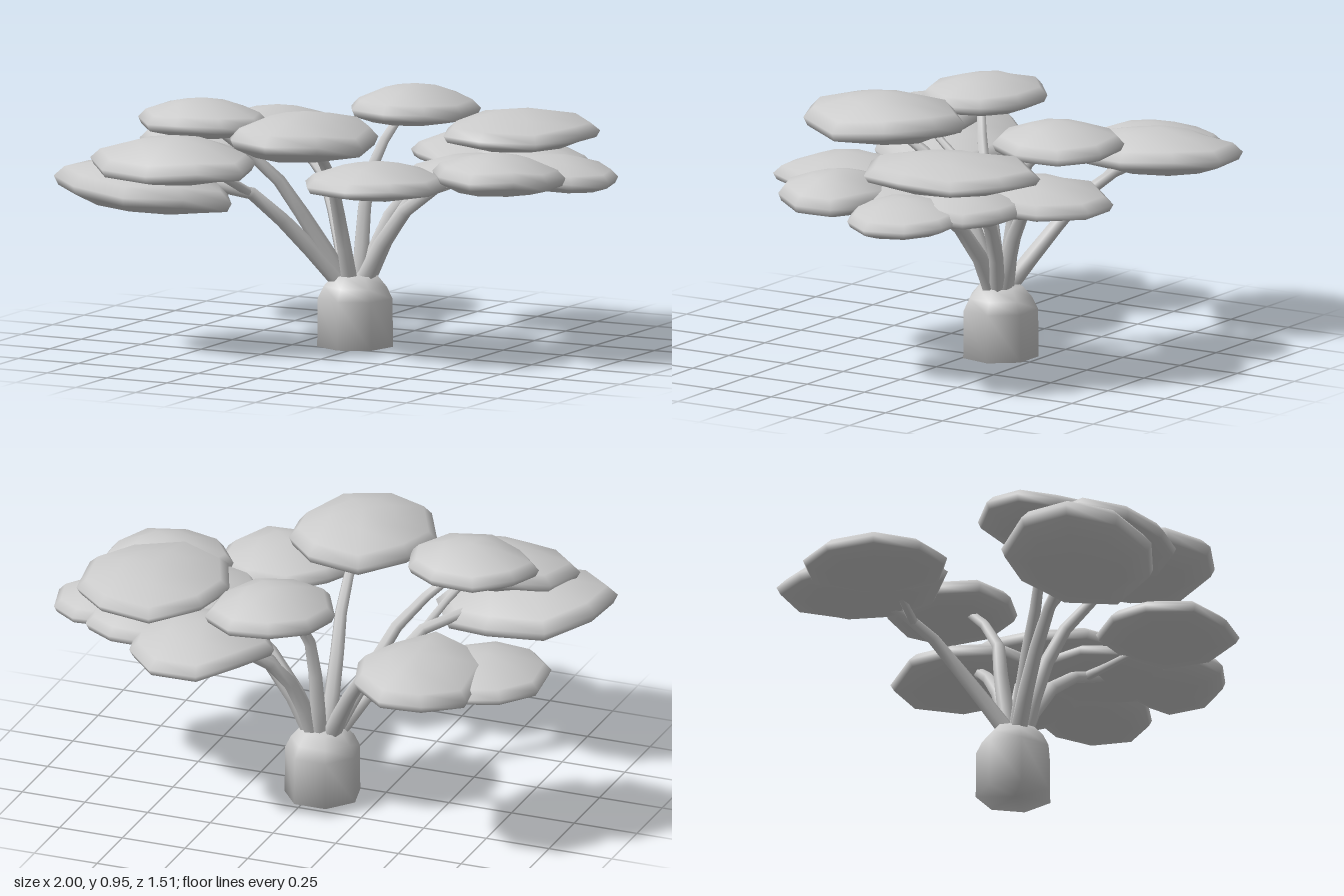
import * as THREE from 'three';
import { mergeVertices } from 'three/addons/utils/BufferGeometryUtils.js';

const material = new THREE.MeshStandardMaterial({ color: 0xcccccc });

// Repeatable pseudo-random value in -1..1
const noise = (a, b) => {
  const s = Math.sin(a * 12.9898 + b * 78.233) * 43758.5453;
  return (s - Math.floor(s)) * 2 - 1;
};

// Drops seams so the low-poly surface shades smoothly
function smooth(geometry) {
  geometry.deleteAttribute('uv');
  geometry.deleteAttribute('normal');
  const merged = mergeVertices(geometry, 1e-4);
  merged.computeVertexNormals();
  return merged;
}

const lathe = (profile, sides) =>
  new THREE.LatheGeometry(profile.map(([r, y]) => new THREE.Vector2(r, y)), sides);

// Flattened leaf mass: a slab with an uneven rim and a low domed top
function leafClump({ c, r, y, turn = 0, tiltX = 0, tiltZ = 0 }, seed) {
  const sides = 9;
  const profile = [[0, 0], [0.65, 0.12], [0.95, 0.28], [1, 0.45], [0.88, 0.65], [0.45, 0.88], [0, 1]];
  const rows = profile.length;
  const geometry = lathe(profile, sides);
  const p = geometry.attributes.position;
  const height = y[1] - y[0];
  for (let i = 0; i < p.count; i++) {
    const side = Math.floor(i / rows) % sides;
    const row = i % rows;
    const out = 1 + 0.06 * noise(side + 1, seed);
    const x = p.getX(i) * out * r[0];
    const z = p.getZ(i) * out * r[1];
    const rim = row > 1 && row < rows - 2 ? 0.08 * noise(side + 20, seed) : 0;
    p.setXYZ(i, x, (p.getY(i) + rim) * height + x * tiltX + z * tiltZ, z);
  }
  geometry.rotateY(turn);
  const mesh = new THREE.Mesh(smooth(geometry), material);
  mesh.position.set(c[0], y[0], c[1]);
  mesh.name = 'leafClump';
  return mesh;
}

// Tapered limb along a smooth path
function limb(points, r0, r1, name) {
  const curve = new THREE.CatmullRomCurve3(points.map((q) => new THREE.Vector3(...q)));
  const steps = 5, sides = 6;
  const geometry = new THREE.TubeGeometry(curve, steps, 1, sides);
  const p = geometry.attributes.position;
  const v = new THREE.Vector3();
  for (let i = 0; i < p.count; i++) {
    const t = Math.floor(i / (sides + 1)) / steps;
    const centre = curve.getPointAt(t);
    v.fromBufferAttribute(p, i).sub(centre).multiplyScalar(r0 + (r1 - r0) * t).add(centre);
    p.setXYZ(i, v.x, v.y, v.z);
  }
  const mesh = new THREE.Mesh(smooth(geometry), material);
  mesh.name = name;
  return mesh;
}

export function createModel() {
  const tree = new THREE.Group();
  tree.name = 'tree';

  // Stout seven-sided trunk with rounded shoulders
  const trunkProfile = [[0, 0], [0.144, 0], [0.142, 0.18], [0.12, 0.225], [0.085, 0.265], [0, 0.275]];
  const trunk = new THREE.Mesh(smooth(lathe(trunkProfile, 7)), material);
  trunk.name = 'trunk';
  trunk.position.set(-0.037, 0, -0.097);
  tree.add(trunk);

  // Main branches fanning out from the trunk top
  const branches = [
    [[-0.07, 0.24, -0.1], [-0.19, 0.46, -0.23], [-0.32, 0.63, -0.34], [-0.52, 0.7, -0.44]],
    [[-0.07, 0.24, -0.07], [-0.17, 0.46, 0.02], [-0.27, 0.66, 0.12], [-0.44, 0.83, 0.24]],
    [[-0.08, 0.24, -0.06], [-0.21, 0.44, 0.07], [-0.33, 0.6, 0.21], [-0.55, 0.64, 0.42]],
    [[-0.04, 0.24, -0.06], [-0.04, 0.5, 0.03], [-0.02, 0.68, 0.14], [0, 0.82, 0.34]],
    [[-0.03, 0.24, -0.12], [-0.03, 0.52, -0.16], [-0.01, 0.68, -0.19], [0.03, 0.84, -0.34]],
    [[0, 0.24, -0.09], [0.1, 0.42, -0.08], [0.25, 0.58, -0.05], [0.42, 0.66, -0.02], [0.62, 0.71, 0.1]],
    [[0, 0.24, -0.11], [0.08, 0.43, -0.15], [0.2, 0.59, -0.18], [0.4, 0.7, -0.2], [0.56, 0.8, -0.26]],
    [[-0.01, 0.24, -0.12], [0.04, 0.46, -0.2], [0.12, 0.6, -0.3], [0.27, 0.7, -0.43]],
  ];
  branches.forEach((path) => tree.add(limb(path, 0.034, 0.017, 'branch')));

  // Short side shoots to the outer leaf masses
  const twigs = [
    [[0.38, 0.64, -0.03], [0.36, 0.67, 0.12], [0.32, 0.7, 0.32]],
    [[-0.36, 0.64, -0.35], [-0.52, 0.67, -0.32], [-0.74, 0.69, -0.27]],
    [[-0.32, 0.59, 0.2], [-0.36, 0.66, 0.32], [-0.44, 0.75, 0.5]],
  ];
  twigs.forEach((path) => tree.add(limb(path, 0.018, 0.011, 'twig')));

  // Flat-topped canopy: centre (x, z), radii (x, z), bottom and top height
  const clumps = [
    { c: [0, 0.39], r: [0.28, 0.305], y: [0.765, 0.95] },
    { c: [0.045, -0.4], r: [0.235, 0.255], y: [0.79, 0.945] },
    { c: [0.3, -0.46], r: [0.26, 0.3], y: [0.64, 0.79] },
    { c: [0.57, -0.26], r: [0.3, 0.33], y: [0.76, 0.905] },
    { c: [0.77, -0.19], r: [0.22, 0.23], y: [0.63, 0.76], tiltX: -0.08 },
    { c: [0.69, 0.16], r: [0.25, 0.22], y: [0.65, 0.815] },
    { c: [0.29, 0.37], r: [0.26, 0.26], y: [0.64, 0.78] },
    { c: [-0.56, -0.46], r: [0.25, 0.32], y: [0.64, 0.81], turn: 0.15 },
    { c: [-0.77, -0.29], r: [0.24, 0.28], y: [0.63, 0.77], turn: 0.25 },
    { c: [-0.49, 0.25], r: [0.25, 0.22], y: [0.795, 0.945] },
    { c: [-0.47, 0.53], r: [0.31, 0.24], y: [0.67, 0.84], tiltZ: -0.08 },
    { c: [-0.62, 0.48], r: [0.34, 0.29], y: [0.545, 0.74], turn: 0.2, tiltX: -0.08 },
    // Inner masses that join the clumps on the left side
    { c: [0.51, -0.02], r: [0.27, 0.26], y: [0.65, 0.77] },
    { c: [0.56, -0.33], r: [0.24, 0.22], y: [0.64, 0.78] },
  ];
  const canopy = new THREE.Group();
  canopy.name = 'canopy';
  clumps.forEach((clump, i) => canopy.add(leafClump(clump, i + 1)));
  tree.add(canopy);

  return tree;
}
